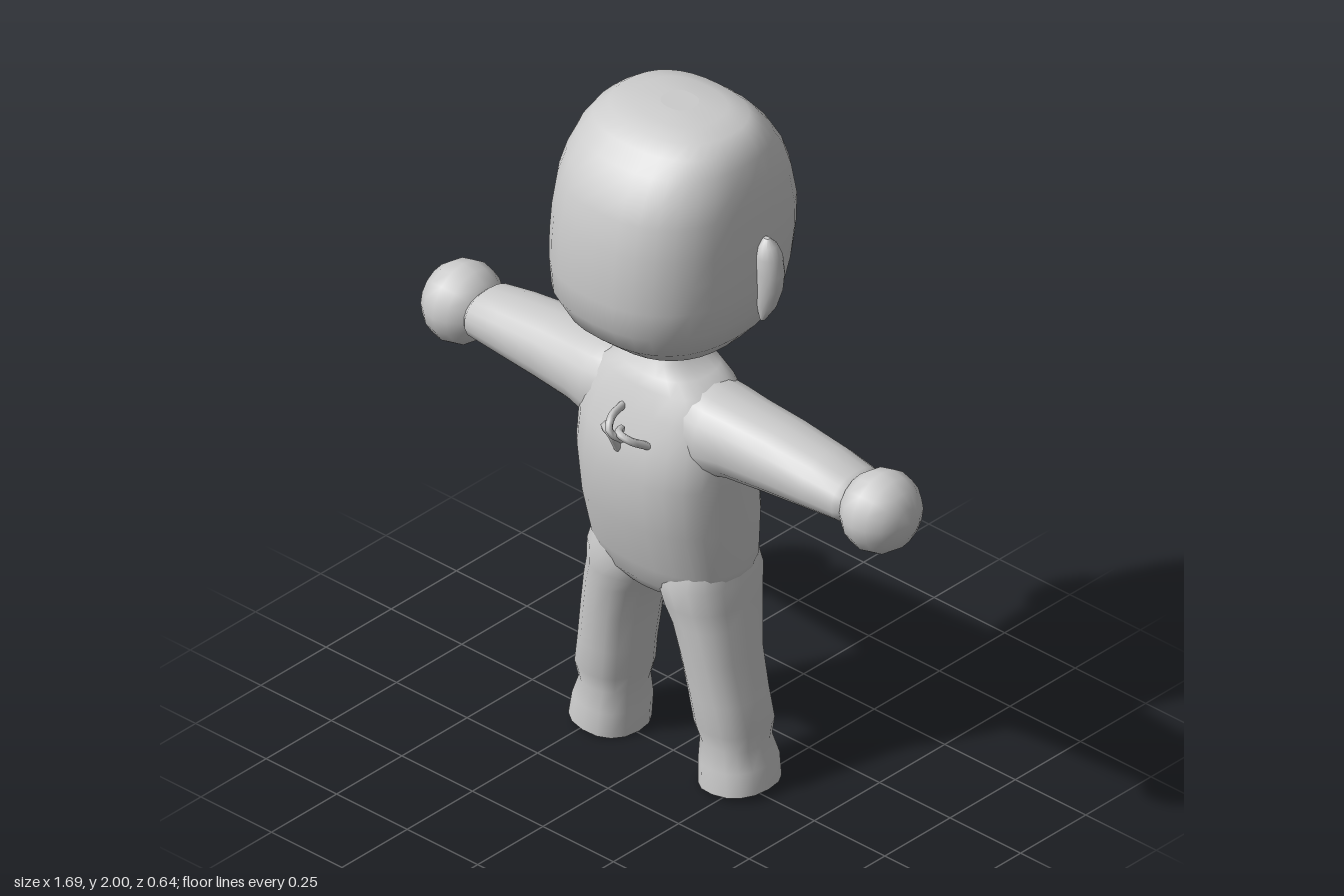
import * as THREE from 'three';

const grey = new THREE.MeshStandardMaterial({ color: 0xcccccc });
grey.name = 'plain grey';

// Smooth capped loft along y. Ring: [y, xMin, xMax, zMin, zMax, tilt]; power sets how square the sections are.
function loft(rings, { side = 1, power = 2, n = 24 } = {}) {
  const pos = [], idx = [];
  const sq = (v) => Math.sign(v) * Math.abs(v) ** (2 / power);
  const addRing = ([y, x0, x1, z0, z1, tilt = 0]) => {
    const start = pos.length / 3;
    for (let j = 0; j < n; j++) {
      const a = (j / n) * Math.PI * 2;
      const dx = sq(Math.cos(a)) * (x1 - x0) / 2;
      pos.push(side * (x0 + x1) / 2 + dx, y + side * tilt * dx, (z0 + z1) / 2 + sq(Math.sin(a)) * (z1 - z0) / 2);
    }
    return start;
  };
  const starts = rings.map(addRing);
  for (let i = 0; i < rings.length - 1; i++)
    for (let j = 0; j < n; j++) {
      const k = (j + 1) % n, a = starts[i], c = starts[i + 1];
      idx.push(a + j, c + j, a + k, a + k, c + j, c + k);
    }
  for (const top of [false, true]) {
    const r = rings[top ? rings.length - 1 : 0];
    const s = addRing(r), centre = pos.length / 3;
    pos.push(side * (r[1] + r[2]) / 2, r[0], (r[3] + r[4]) / 2);
    for (let j = 0; j < n; j++) {
      const k = (j + 1) % n;
      idx.push(centre, s + (top ? k : j), s + (top ? j : k));
    }
  }
  const g = new THREE.BufferGeometry();
  g.setAttribute('position', new THREE.Float32BufferAttribute(pos, 3));
  g.setIndex(idx);
  g.computeVertexNormals();
  return g;
}

// Ring symmetric about x = 0
const sym = (y, rx, z0, z1) => [y, -rx, rx, z0, z1];

export function createModel() {
  const model = new THREE.Group();
  model.name = 'doll';
  const add = (name, geometry) => {
    const m = new THREE.Mesh(geometry, grey);
    m.name = name;
    model.add(m);
    return m;
  };

  // Large rounded-block head
  add('head', loft([
    sym(1.27, 0.03, -0.05, 0.02), sym(1.28, 0.09, -0.1, 0.06), sym(1.305, 0.15, -0.15, 0.13),
    sym(1.345, 0.2, -0.19, 0.21), sym(1.4, 0.25, -0.235, 0.275), sym(1.47, 0.28, -0.275, 0.315),
    sym(1.55, 0.29, -0.3, 0.32), sym(1.63, 0.292, -0.315, 0.318), sym(1.71, 0.29, -0.318, 0.31),
    sym(1.8, 0.282, -0.298, 0.29), sym(1.86, 0.27, -0.275, 0.26), sym(1.915, 0.25, -0.24, 0.22),
    sym(1.955, 0.225, -0.205, 0.175), sym(1.98, 0.19, -0.175, 0.13), sym(1.995, 0.13, -0.13, 0.08),
    sym(2.0, 0.05, -0.07, 0.02),
  ], { power: 2.4, n: 32 }));

  // Torso from crotch to neck
  add('torso', loft([
    sym(0.54, 0.05, -0.07, 0.07), sym(0.56, 0.13, -0.11, 0.11), sym(0.6, 0.225, -0.15, 0.14),
    sym(0.66, 0.24, -0.17, 0.16), sym(0.8, 0.245, -0.185, 0.2), sym(0.95, 0.25, -0.165, 0.215),
    sym(1.05, 0.25, -0.145, 0.195), sym(1.13, 0.235, -0.125, 0.165), sym(1.195, 0.19, -0.11, 0.14),
    sym(1.225, 0.135, -0.1, 0.12), sym(1.25, 0.085, -0.09, 0.1), sym(1.29, 0.07, -0.08, 0.08),
  ], { power: 2.4 }));

  // Short upturned tail
  add('tail', loft([
    sym(0.55, 0.03, -0.15, -0.06), sym(0.62, 0.055, -0.2, -0.08), sym(0.68, 0.07, -0.25, -0.12),
    sym(0.74, 0.072, -0.277, -0.16), sym(0.78, 0.06, -0.285, -0.2), sym(0.8, 0.035, -0.28, -0.24),
    sym(0.808, 0.01, -0.27, -0.255),
  ], { n: 14 }));

  for (const side of [1, -1]) {
    const label = side > 0 ? 'left' : 'right';

    // Leg with a creased, flared cuff and flat sole
    add(label + 'Leg', loft([
      [0.01, 0.128, 0.332, -0.113, 0.1, 0.1], [0.08, 0.125, 0.322, -0.115, 0.096, 0.06],
      [0.14, 0.128, 0.302, -0.102, 0.086], [0.19, 0.113, 0.309, -0.11, 0.1],
      [0.28, 0.1, 0.292, -0.106, 0.107], [0.4, 0.08, 0.27, -0.108, 0.12],
      [0.5, 0.053, 0.255, -0.13, 0.13], [0.55, 0.02, 0.247, -0.145, 0.135],
      [0.62, 0.0, 0.24, -0.16, 0.145], [0.7, 0.02, 0.22, -0.14, 0.12],
    ], { side, power: 2.3, n: 16 }));

    // Arm lofted along its length, then laid sideways
    const arm = loft([
      [0.0, -1.19, -1.0, -0.09, 0.12], [0.12, -1.215, -0.96, -0.11, 0.14],
      [0.2, -1.208, -0.965, -0.112, 0.145], [0.27, -1.195, -0.98, -0.11, 0.13],
      [0.4, -1.183, -0.99, -0.108, 0.118], [0.55, -1.165, -1.003, -0.1, 0.108],
      [0.65, -1.148, -1.01, -0.09, 0.098], [0.68, -1.12, -1.025, -0.06, 0.07],
    ], { side, power: 2.2, n: 18 });
    add(label + 'Arm', arm.rotateZ(-side * Math.PI / 2));

    // Ball hand
    const hand = new THREE.SphereGeometry(0.116, 16, 8).rotateZ(Math.PI / 2);
    add(label + 'Hand', hand.scale(0.9, 1, 1).translate(side * 0.742, 1.068, 0.005));

    // Teardrop ear
    add(label + 'Ear', loft([
      [1.44, 0.275, 0.29, -0.045, -0.03], [1.49, 0.265, 0.325, -0.06, -0.015],
      [1.55, 0.27, 0.345, -0.07, -0.005], [1.6, 0.272, 0.351, -0.072, 0.0],
      [1.65, 0.272, 0.343, -0.072, 0.002], [1.68, 0.275, 0.328, -0.062, -0.008],
      [1.7, 0.29, 0.308, -0.042, -0.028],
    ], { side, n: 14 }));
  }

  // Small knotted strands on the chest
  const strands = [
    [[-0.065, 1.065, 0.17], [-0.045, 1.085, 0.215], [-0.01, 1.085, 0.23], [-0.015, 1.02, 0.195]],
    [[-0.035, 1.13, 0.15], [-0.005, 1.135, 0.235], [0.01, 1.11, 0.255], [0.03, 1.08, 0.225]],
    [[0.0, 1.09, 0.2], [0.03, 1.105, 0.24], [0.06, 1.095, 0.235], [0.08, 1.06, 0.18]],
  ];
  strands.forEach((pts, i) => {
    const curve = new THREE.CatmullRomCurve3(pts.map((p) => new THREE.Vector3(...p)));
    add('chestStrand' + (i + 1), new THREE.TubeGeometry(curve, 10, 0.011, 6));
  });

  return model;
}
